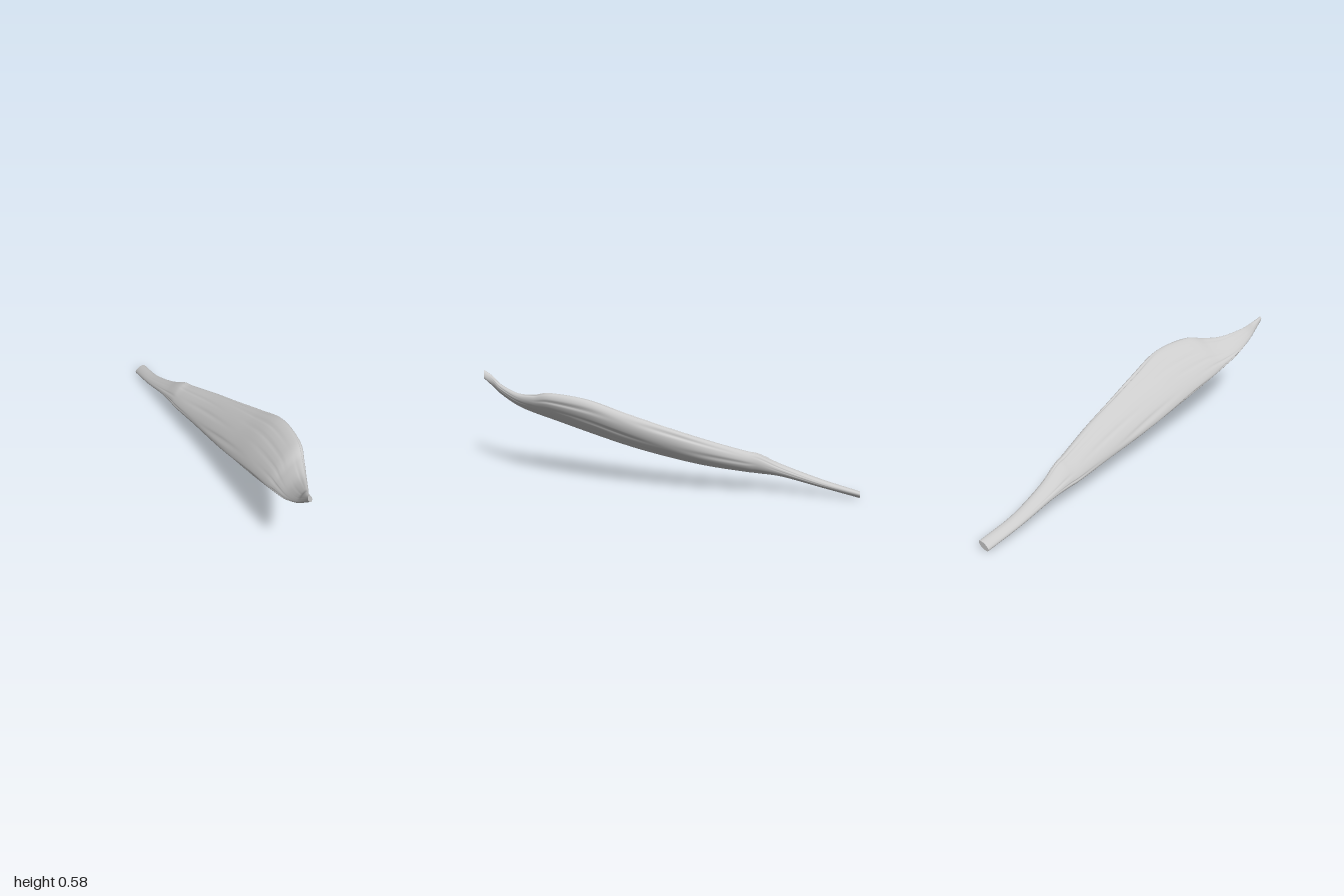
import * as THREE from 'three';

// Stations from front tip to rear stem: z, xMin, xMax, yMin, yMax, tilt phase (small = flatter slanted blade)
const stations = [
  [1.0, -0.158, -0.132, 0.538, 0.58, 2.1],
  [0.95, -0.152, -0.112, 0.495, 0.553, 1.5],
  [0.9, -0.146, -0.075, 0.455, 0.52, 1.15],
  [0.8, -0.134, -0.01, 0.398, 0.493, 0.9],
  [0.7, -0.123, 0.05, 0.364, 0.503, 0.8],
  [0.6, -0.114, 0.1, 0.335, 0.527, 0.77],
  [0.4, -0.091, 0.15, 0.277, 0.51, 0.8],
  [0.2, -0.066, 0.157, 0.222, 0.442, 0.87],
  [0.0, -0.041, 0.152, 0.177, 0.374, 0.95],
  [-0.2, -0.021, 0.146, 0.142, 0.31, 1.05],
  [-0.4, -0.01, 0.125, 0.117, 0.249, 1.15],
  [-0.48, -0.002, 0.115, 0.11, 0.23, 1.2],
  [-0.6, 0.01, 0.102, 0.098, 0.17, 1.3],
  [-0.8, 0.03, 0.101, 0.049, 0.097, 1.3],
  [-1.0, 0.06, 0.124, 0.003, 0.046, 1.05],
];
const RINGS = 160, SIDES = 96;

// Uniform splines sharing the same z, so one parameter gives a whole station
const spline = (a, b) => new THREE.CatmullRomCurve3(
  stations.map((s) => new THREE.Vector3(s[a], s[b], s[0])), false, 'catmullrom', 0.5);
const xRange = spline(1, 2), yRange = spline(3, 4), tilt = spline(5, 5);

// One slanted section: flat on its upper left, full on its lower right, with lengthwise fibre grooves
function section(u) {
  const x = xRange.getPoint(u), y = yRange.getPoint(u), half = tilt.getPoint(u).x / 2;
  const fade = Math.min(1, 2 * Math.sin(Math.PI * u));
  const upper = 1 - 0.38 * fade, lower = 1 + 0.2 * fade;
  const upperReach = Math.hypot(Math.cos(half), upper * Math.sin(half));
  const lowerReach = Math.hypot(Math.cos(half), lower * Math.sin(half));
  const shift = (lowerReach - upperReach) / 2, scale = (lowerReach + upperReach) / 2;
  const pts = [];
  for (let j = 0; j < SIDES; j++) {
    const t = (j / SIDES) * Math.PI * 2;
    const along = Math.cos(t) * Math.cos(half);
    const bulge = Math.sin(t) * Math.sin(half) * (Math.sin(t) > 0 ? upper : lower);
    const wave = Math.sin(11 * t + 2 * Math.sin(u * 8 + 2 * t));
    const patch = 0.5 + 0.5 * Math.sin(u * 25 + 3 * t);
    const groove = 1 - 0.055 * fade * patch * Math.max(0, wave) ** 2;
    pts.push(new THREE.Vector3(
      (x.x + x.y) / 2 + ((x.y - x.x) / 2) * ((along - bulge - shift) / scale) * groove,
      (y.x + y.y) / 2 + ((y.y - y.x) / 2) * ((along + bulge + shift) / scale) * groove,
      x.z));
  }
  return pts;
}

// Smooth skin lofted through all sections
function bodyGeometry() {
  const points = [], index = [];
  for (let i = 0; i <= RINGS; i++) points.push(...section(i / RINGS));
  for (let i = 0; i < RINGS; i++) {
    for (let j = 0; j < SIDES; j++) {
      const k = (j + 1) % SIDES;
      const a = i * SIDES + j, b = i * SIDES + k, c = a + SIDES, d = b + SIDES;
      index.push(a, c, b, b, c, d);
    }
  }
  const geometry = new THREE.BufferGeometry().setFromPoints(points);
  geometry.setIndex(index);
  geometry.computeVertexNormals();
  return geometry;
}

export function createModel() {
  const group = new THREE.Group();
  group.name = 'muscle';
  const material = new THREE.MeshStandardMaterial({ color: 0xcccccc, side: THREE.DoubleSide });
  const add = (name, geometry) => {
    const mesh = new THREE.Mesh(geometry, material);
    mesh.name = name;
    group.add(mesh);
    return mesh;
  };

  add('muscleBelly', bodyGeometry());

  // Flat ends closing the tip and the stem
  for (const [name, u] of [['frontTipCap', 0], ['rearTendonCap', 1]]) {
    const ring = section(u);
    const outline = new THREE.Shape(ring.map((p) => new THREE.Vector2(p.x, p.y)));
    add(name, new THREE.ShapeGeometry(outline)).position.z = ring[0].z;
  }
  return group;
}
